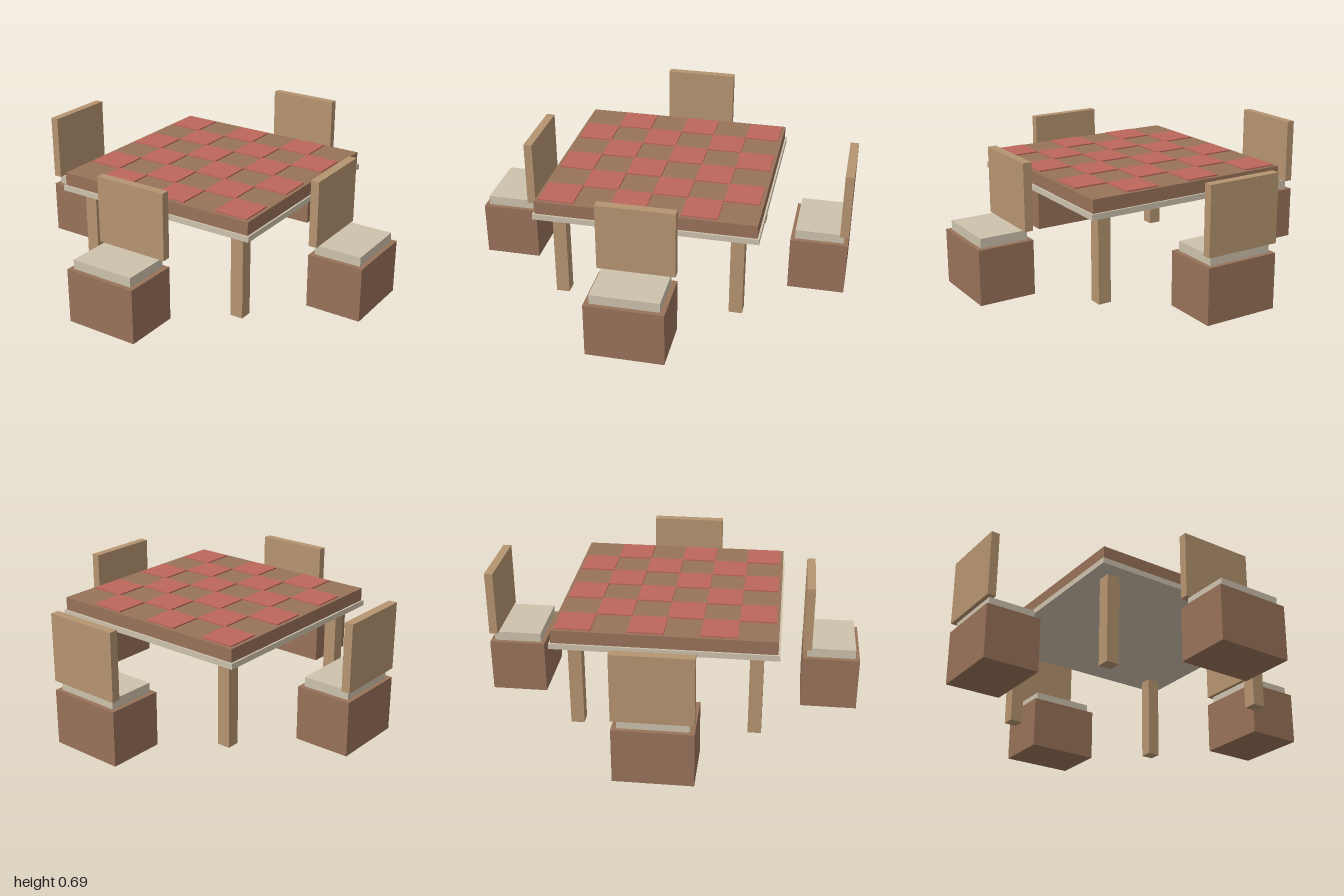
import * as THREE from 'three';

const material = (name, color) => {
  const m = new THREE.MeshStandardMaterial({ color });
  m.name = name;
  return m;
};

export function createModel() {
  const brown = material('brownWood', 0x987259);
  const tan = material('tanWood', 0xb69470);
  const cream = material('cream', 0xcdc1ac);
  const red = material('redTile', 0xbd665c);

  // Box given its centre in x and z, and its bottom and top heights
  const box = (name, mat, w, d, y0, y1, x = 0, z = 0) => {
    const mesh = new THREE.Mesh(new THREE.BoxGeometry(w, y1 - y0, d), mat);
    mesh.name = name;
    mesh.position.set(x, (y0 + y1) / 2, z);
    return mesh;
  };

  const model = new THREE.Group();
  model.name = 'gameTableSet';

  // Table: trim plate, thick top and four square legs
  const table = new THREE.Group();
  table.name = 'table';
  table.add(box('tableTrim', cream, 1.16, 1.16, 0.475, 0.505));
  table.add(box('tableTop', brown, 1.14, 1.14, 0.505, 0.575));
  for (const sx of [-1, 1])
    for (const sz of [-1, 1])
      table.add(box('tableLeg', tan, 0.07, 0.07, 0, 0.475, sx * 0.465, sz * 0.465));

  // Raised tiles on every other square of a six by six board
  const pitch = 0.184;
  for (let row = 0; row < 6; row++)
    for (let col = row % 2; col < 6; col += 2)
      table.add(box('boardTile', red, pitch, pitch, 0.574, 0.582,
        (col - 2.5) * pitch, (row - 2.5) * pitch));
  model.add(table);

  // Chair with its backrest on the -z side before turning
  const addChair = (name, x, z, turn) => {
    const chair = new THREE.Group();
    chair.name = name;
    chair.add(box('seatBase', brown, 0.4, 0.3, 0, 0.29));
    chair.add(box('cushion', cream, 0.35, 0.255, 0.29, 0.34));
    chair.add(box('backrest', tan, 0.4, 0.045, 0.34, 0.695, 0, -0.1275));
    chair.position.set(x, 0, z);
    chair.rotation.y = turn;
    model.add(chair);
  };

  // Opposite chairs face the same way
  addChair('backChair', 0, -0.85, 0);
  addChair('frontChair', 0, 0.85, 0);
  addChair('rightChair', -0.85, 0, Math.PI / 2);
  addChair('leftChair', 0.85, 0, Math.PI / 2);

  return model;
}
